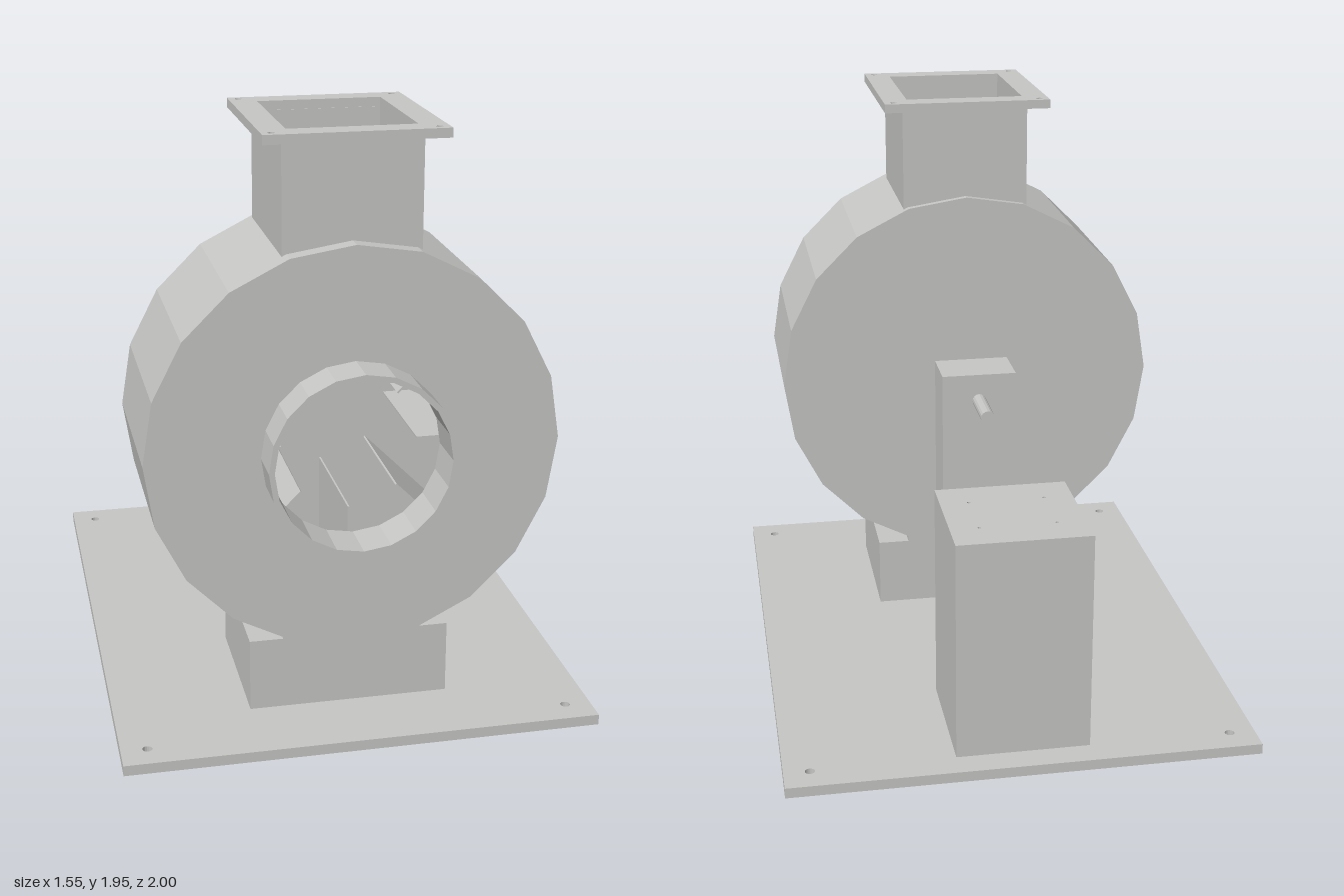
import * as THREE from 'three';

const metal = new THREE.MeshStandardMaterial({ color: 0xc6c6c4, flatShading: true });
metal.name = 'grey metal';

export function createModel() {
  const group = new THREE.Group();
  const add = (name, geometry) => {
    const mesh = new THREE.Mesh(geometry, metal);
    mesh.name = name;
    group.add(mesh);
    return mesh;
  };
  // Block given by half width, y range and z range
  const block = (name, hw, y0, y1, z0, z1) =>
    add(name, new THREE.BoxGeometry(hw * 2, y1 - y0, z1 - z0))
      .position.set(0, (y0 + y1) / 2, (z0 + z1) / 2);

  const rectangle = (Type, hw, hd) => {
    const r = new Type();
    r.moveTo(-hw, -hd).lineTo(hw, -hd).lineTo(hw, hd).lineTo(-hw, hd).closePath();
    return r;
  };
  // Horizontal plate with four bolt holes and an optional rectangular opening
  const plate = (name, hw, hd, y0, y1, zc, bolts, opening) => {
    const shape = rectangle(THREE.Shape, hw, hd);
    if (bolts) {
      for (const sx of [-1, 1]) for (const sz of [-1, 1]) {
        const hole = new THREE.Path();
        hole.absarc(sx * bolts.x, sz * bolts.z, bolts.r, 0, Math.PI * 2, true);
        shape.holes.push(hole);
      }
    }
    if (opening) shape.holes.push(rectangle(THREE.Path, opening.x, opening.z));
    const geometry = new THREE.ExtrudeGeometry(shape, { depth: y1 - y0, bevelEnabled: false, curveSegments: 8 });
    geometry.rotateX(-Math.PI / 2);
    add(name, geometry).position.set(0, y0, zc);
  };

  const axisY = 0.935;
  const midZ = 0.478;

  // Base and supports
  plate('basePlate', 0.775, 1, 0, 0.035, 0, { x: 0.69, z: 0.913, r: 0.016 });
  block('casingSupport', 0.33, 0.035, 0.28, 0.225, 0.735);
  block('casingSaddle', 0.22, 0.28, 0.32, 0.225, 0.735);
  block('bearingPedestal', 0.13, 0.035, 1.03, -0.065, 0.11);

  // Motor mount with four blind holes in its top
  block('motorMount', 0.22, 0.035, 0.7, -0.91, -0.47);
  plate('motorMountTop', 0.22, 0.22, 0.7, 0.78, -0.69, { x: 0.125, z: 0.1, r: 0.006 });

  // Hollow casing with the inlet collar, one closed profile
  const profile = [
    [0, 0.2], [0.665, 0.2], [0.665, 0.79], [0.298, 0.79], [0.298, 0.925],
    [0.28, 0.925], [0.28, 0.77], [0.645, 0.77], [0.645, 0.22], [0, 0.22],
  ].map(([r, z]) => new THREE.Vector2(r, z));
  const casing = new THREE.LatheGeometry(profile, 20);
  casing.rotateX(Math.PI / 2);
  add('casing', casing).position.y = axisY;

  // Outlet duct and flange
  plate('outletDuct', 0.22, 0.255, 1.56, 1.915, 0.48, null, { x: 0.203, z: 0.237 });
  block('outletFloor', 0.21, 1.59, 1.605, 0.235, 0.725);
  plate('outletFlange', 0.288, 0.32, 1.915, 1.945, midZ, { x: 0.255, z: 0.29, r: 0.011 }, { x: 0.203, z: 0.237 });

  // Drive shaft
  const shaft = new THREE.CylinderGeometry(0.024, 0.024, 0.45, 16);
  shaft.rotateX(Math.PI / 2);
  add('driveShaft', shaft).position.set(0, axisY, -0.015);

  // Impeller: back disc and eight radial blades
  const impeller = new THREE.Group();
  impeller.name = 'impeller';
  impeller.position.y = axisY;
  const disc = new THREE.CylinderGeometry(0.55, 0.55, 0.02, 20);
  disc.rotateX(Math.PI / 2);
  disc.translate(0, 0, 0.26);
  const discMesh = new THREE.Mesh(disc, metal);
  discMesh.name = 'impellerDisc';
  impeller.add(discMesh);
  const blade = new THREE.BoxGeometry(0.33, 0.006, 0.44);
  blade.translate(0.385, 0, 0.49);
  for (let i = 0; i < 8; i++) {
    const mesh = new THREE.Mesh(blade, metal);
    mesh.name = 'impellerBlade';
    mesh.rotation.z = (i * Math.PI) / 4;
    impeller.add(mesh);
  }
  group.add(impeller);

  return group;
}
